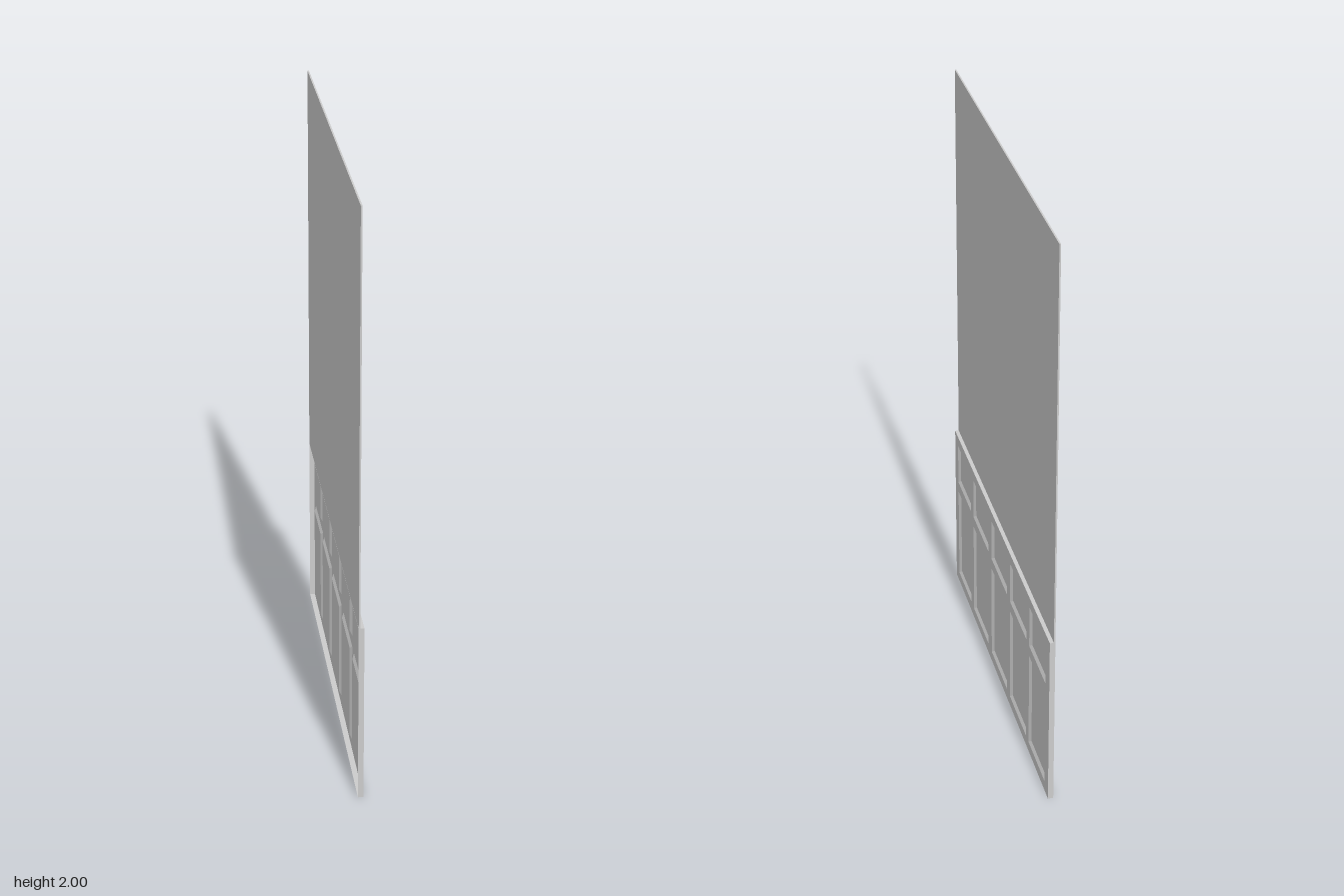
import * as THREE from 'three';

const HALF = 0.665, RAIL = 0.62;           // half width, wainscot height
const BACK = -0.009, WALL = -0.004, FRONT = 0.009, FIELD = 0.002;
const BEVEL = 0.013;

const material = new THREE.MeshStandardMaterial({
  color: 0xcccccc, flatShading: true, side: THREE.DoubleSide,
});

// Panel columns [z from, z to] and rows [y from, y to]
const columns = [[0.424, 0.62], [0.159, 0.382], [-0.111, 0.111], [-0.374, -0.154], [-0.618, -0.41]];
const rows = [[0.037, 0.39], [0.43, 0.583]];

function add(parent, geometry, name) {
  const mesh = new THREE.Mesh(geometry, material);
  mesh.name = name;
  parent.add(mesh);
  return mesh;
}

function box(parent, name, x0, x1, y0, y1, z0, z1) {
  const g = new THREE.BoxGeometry(x1 - x0, y1 - y0, z1 - z0);
  g.translate((x0 + x1) / 2, (y0 + y1) / 2, (z0 + z1) / 2);
  return add(parent, g, name);
}

// Rectangle corners seen from +x, counter-clockwise
function ring(x, z0, z1, y0, y1) {
  return [[x, y0, z1], [x, y0, z0], [x, y1, z0], [x, y1, z1]];
}

// Sunken panel: four sloping sides and a flat field
function panelGeometry(z0, z1, y0, y1) {
  const points = [
    ...ring(FRONT, z0, z1, y0, y1),
    ...ring(FIELD, z0 + BEVEL, z1 - BEVEL, y0 + BEVEL, y1 - BEVEL),
  ];
  const index = [4, 5, 6, 4, 6, 7];
  for (let i = 0; i < 4; i++) {
    const j = (i + 1) % 4;
    index.push(i, j, j + 4, i, j + 4, i + 4);
  }
  const g = new THREE.BufferGeometry();
  g.setAttribute('position', new THREE.Float32BufferAttribute(points.flat(), 3));
  g.setIndex(index);
  const flat = g.toNonIndexed();
  flat.computeVertexNormals();
  return flat;
}

function rectangle(target, u0, u1, y0, y1) {
  target.moveTo(u0, y0);
  target.lineTo(u1, y0);
  target.lineTo(u1, y1);
  target.lineTo(u0, y1);
  target.closePath();
  return target;
}

export function createModel() {
  const model = new THREE.Group();
  model.name = 'panelledWall';

  // Plain upper wall
  box(model, 'upperWall', BACK, WALL, RAIL, 2, -HALF, HALF);

  // Wainscot face with an opening for each panel
  const wainscot = new THREE.Group();
  wainscot.name = 'wainscot';
  model.add(wainscot);
  const face = rectangle(new THREE.Shape(), -HALF, HALF, 0, RAIL);
  for (const [z0, z1] of columns) {
    for (const [y0, y1] of rows) {
      face.holes.push(rectangle(new THREE.Path(), -z1, -z0, y0, y1));
      add(wainscot, panelGeometry(z0, z1, y0, y1), 'sunkenPanel');
    }
  }
  const faceGeometry = new THREE.ShapeGeometry(face);
  faceGeometry.rotateY(Math.PI / 2);
  faceGeometry.translate(FRONT, 0, 0);
  add(wainscot, faceGeometry, 'wainscotFace');

  // Top ledge, and returns at the two ends and the floor
  const depth = FRONT - BACK, middle = (FRONT + BACK) / 2;
  for (const [name, y] of [['ledge', RAIL], ['floorReturn', 0]]) {
    const g = new THREE.PlaneGeometry(depth, 2 * HALF);
    g.rotateX(y ? -Math.PI / 2 : Math.PI / 2);
    add(wainscot, g, name).position.set(middle, y, 0);
  }
  for (const side of [-1, 1]) {
    const g = new THREE.PlaneGeometry(depth, RAIL);
    if (side < 0) g.rotateY(Math.PI);
    add(wainscot, g, 'endReturn').position.set(middle, RAIL / 2, side * HALF);
  }
  return model;
}
